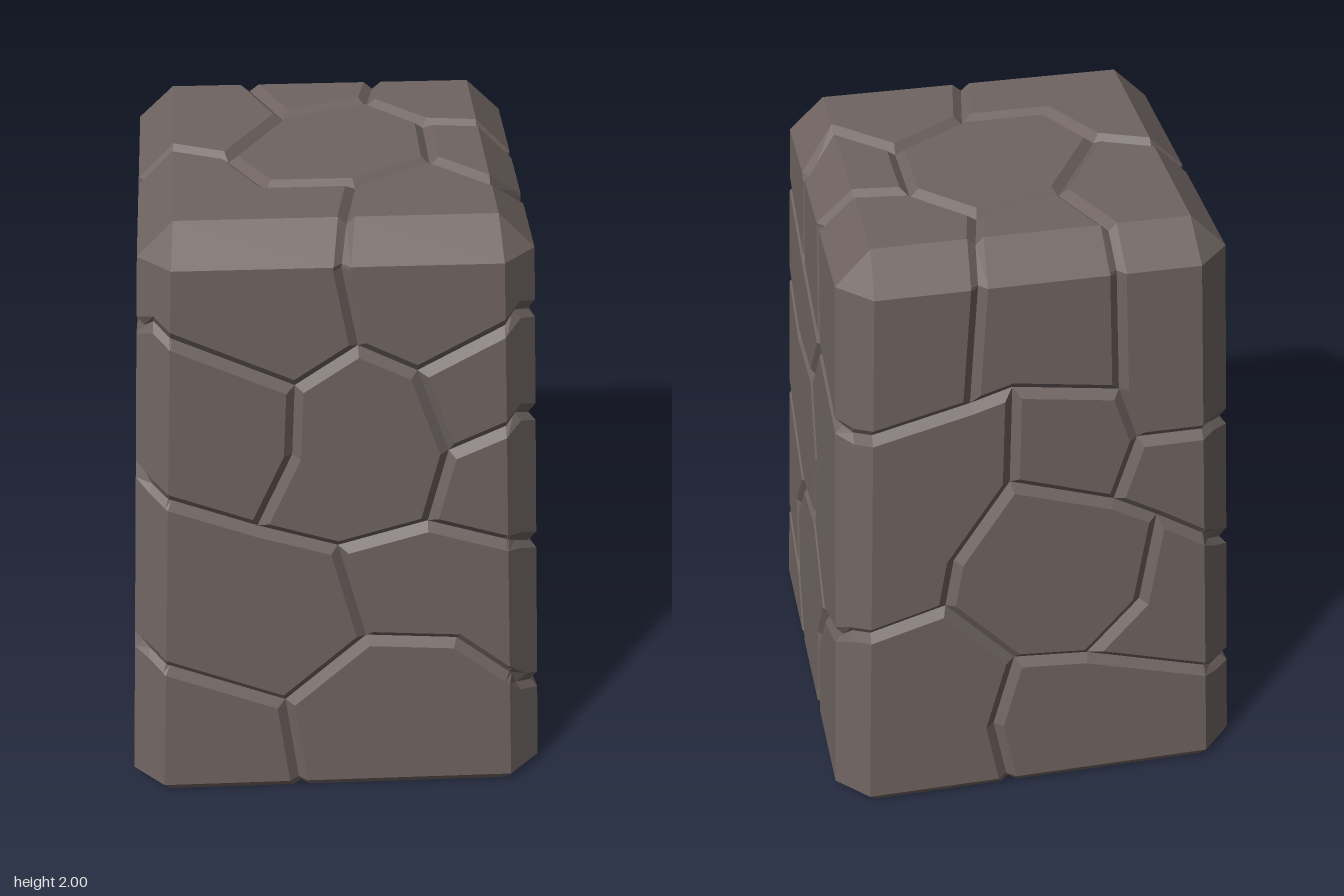
import * as THREE from 'three';

const TOP = 2, SHOULDER = 1.89, FOOT = 0.03;   // heights where the profile bends
const HALF = 0.53, SIDE = 1.2;                 // unwrapped flat half width, and one side plus a corner
const GROOVE = 0.027, DEPTH = 0.024, TOP_HALF = 0.48;

// Half width and corner chamfer of the tapered block at height v
function section(v) {
  if (v < FOOT) return { h: 0.65 + 0.02 * v / FOOT, c: 0.1 };
  if (v <= SHOULDER) return { h: 0.67 - 0.08 * (v - FOOT) / (SHOULDER - FOOT), c: 0.1 };
  const t = (v - SHOULDER) / (TOP - SHOULDER);
  return { h: THREE.MathUtils.lerp(0.59, TOP_HALF, t), c: 0.1 * (1 - t) };
}

// Unwrapped side coordinates (s around, v up) to a point in space
function sidePoint(p, depth) {
  const { h, c } = section(p.y);
  const k = Math.round(p.x / SIDE), u = p.x - k * SIDE, a = Math.abs(u);
  const t = Math.max(0, (a - HALF) / (SIDE / 2 - HALF));
  const up = Math.max(0, (p.y - SHOULDER) / (TOP - SHOULDER));
  const x = Math.sign(u) * (Math.min(a / HALF, 1) * (h - c) + t * c / 2);
  const z = h - t * c / 2 - depth * (1 - up);
  return new THREE.Vector3(x, p.y - depth * up, z).applyAxisAngle(new THREE.Vector3(0, 1, 0), k * Math.PI / 2);
}
const topPoint = (p, depth) => new THREE.Vector3(p.x, TOP - depth, -p.y);

// Fold lines of the unwrapped sides
const sFolds = [];
for (let k = -6; k <= 9; k++) sFolds.push(k * SIDE - HALF, k * SIDE + HALF);
const vFolds = [FOOT, SHOULDER];

// Keep the part of a polygon where sign * (axis - limit) >= 0
function clip(poly, axis, limit, sign) {
  const out = [];
  poly.forEach((a, i) => {
    const b = poly[(i + 1) % poly.length];
    const da = sign * (a[axis] - limit), db = sign * (b[axis] - limit);
    if (da >= 0) out.push(a);
    if (da * db < 0) out.push(a.clone().lerp(b, da / (da - db)));
  });
  return out;
}
function slices(poly, axis, folds) {
  const limits = [-99, ...folds, 99], out = [];
  for (let i = 0; i + 1 < limits.length; i++) {
    const part = clip(clip(poly, axis, limits[i], 1), axis, limits[i + 1], -1);
    if (part.length > 2 && Math.abs(THREE.ShapeUtils.area(part)) > 1e-6) out.push(part);
  }
  return out;
}

// Move each edge inwards by its own distance
function inset(poly, dist) {
  const n = poly.length;
  const normal = i => {
    const d = poly[(i + 1) % n].clone().sub(poly[i]).normalize();
    return new THREE.Vector2(-d.y, d.x);
  };
  return poly.map((p, i) => {
    const j = (i + n - 1) % n, a = normal(j), b = normal(i);
    const det = a.x * b.y - a.y * b.x;
    if (Math.abs(det) < 0.08) return p.clone().addScaledVector(b, Math.max(dist[i], dist[j]));
    return new THREE.Vector2(p.x + (dist[j] * b.y - dist[i] * a.y) / det, p.y + (a.x * dist[i] - b.x * dist[j]) / det);
  });
}

// One stone: a folded face with bevelled walls running down into the grooves
function stone(poly, point, isBorder, sF, vF, material, name) {
  if (THREE.ShapeUtils.area(poly) < 0) poly.reverse();
  const n = poly.length, pos = [];
  const tri = (...pts) => pts.forEach(p => pos.push(p.x, p.y, p.z));
  const dist = poly.map((p, i) => isBorder(p, poly[(i + 1) % n]) ? 0 : GROOVE);
  const inner = inset(poly, dist);
  for (const strip of slices(inner, 'x', sF)) {
    for (const part of slices(strip, 'y', vF)) {
      // nudge the centre test so points on a fold keep to their own strip
      for (const f of THREE.ShapeUtils.triangulateShape(part.slice(), [])) {
        const t = f.map(i => part[i]);
        if (THREE.ShapeUtils.area(t) < 0) t.reverse();
        tri(...t.map(p => point(p, 0)));
      }
    }
  }
  for (let i = 0; i < n; i++) {
    if (!dist[i]) continue;
    const j = (i + 1) % n, cuts = [0, 1];
    for (const [a, b] of [[poly[i], poly[j]], [inner[i], inner[j]]]) {
      for (const [axis, folds] of [['x', sF], ['y', vF]]) {
        for (const f of folds) {
          const t = (f - a[axis]) / (b[axis] - a[axis]);
          if (t > 0.001 && t < 0.999) cuts.push(t);
        }
      }
    }
    cuts.sort((a, b) => a - b);
    for (let k = 0; k + 1 < cuts.length; k++) {
      const o = [0, 1].map(d => point(poly[i].clone().lerp(poly[j], cuts[k + d]), DEPTH));
      const q = [0, 1].map(d => point(inner[i].clone().lerp(inner[j], cuts[k + d]), 0));
      tri(o[0], o[1], q[1], o[0], q[1], q[0]);
    }
  }
  const geo = new THREE.BufferGeometry();
  geo.setAttribute('position', new THREE.Float32BufferAttribute(pos, 3));
  geo.computeVertexNormals();
  const mesh = new THREE.Mesh(geo, material);
  mesh.name = name;
  return mesh;
}

// Groove junctions on each side: across, height
const sides = {
  f: [[.06, 1.62], [-.13, 1.49], [-.14, 1.25], [-.25, 1], [0, .92], [.28, 1], [.34, 1.25], [.24, 1.53], [.09, .58],
    [-.17, .34], [.38, .56], [-.12, 0], [.01, 1.88], [.03, 2]],
  r: [[-.17, 1.57], [.17, 1.48], [0, 1.25], [-.29, 1.23], [.12, 1], [.07, .74], [-.18, .7], [.31, .53], [-.33, .5],
    [-.3, .23], [-.17, 0], [.18, .32], [.18, 0], [-.16, 1.88], [-.26, 2], [.14, 1.88], [.15, 2]],
  b: [[-.21, 1.49], [-.08, 1.53], [.25, 1.48], [.31, 1.3], [.24, 1.08], [-.09, 1.19], [.38, 1], [.33, .68], [.16, .49],
    [-.08, .51], [-.3, .75], [-.27, .92], [-.15, .25], [-.1, 0], [-.17, 2], [.23, 2]],
  l: [[0, 1.62], [-.21, 1.2], [.24, 1.56], [.24, 1.32], [.02, 1.08], [-.23, .67], [-.04, .62], [.21, .62], [.19, .9],
    [-.08, .3], [-.13, 0], [-.02, 2], [-.19, 1.07]],
};
// Heights where grooves cross the four corners
const corners = { p: [1.71, 1.36, .9, .36], q: [1.4, .66], m: [1.3, .86, .35], n: [1.69, 1.13, .52] };

// Stones as loops of junctions
const sideStones = [
  'f0 f1 f2 f3 f4 f5 f6 f7', 'f0 f7 p0 r0 r13 r14 f13 f12', 'f7 f6 p1 r3 r2 r1 r0 p0',
  'f6 f5 p2 r6 r5 r4 r2 r3 p1', 'f4 f5 p2 r6 r8 r9 p3 f10 f8', 'f8 f10 p3 r9 r10 f11 f9',
  'r0 r1 r15 r16 r14 r13', 'r5 r6 r8 r9 r10 r12 r11 r7', 'r1 r15 r16 b14 b0 q0',
  'r1 r2 r4 r5 r7 q1 b10 b11 b5 b1 b0 q0', 'r7 r11 r12 b13 b12 b9 b10 q1', 'b0 b1 b2 b15 b14',
  'b1 b2 b3 b4 b5', 'b5 b4 b6 b7 b8 b9 b10 b11', 'b3 b4 b6 m1 l5 l12 l1 m0', 'b6 b7 b8 m2 l9 l6 l5 m1',
  'b9 b8 m2 l9 l10 b13 b12', 'b2 b15 l11 l0 l1 m0 b3', 'l0 l1 l12 l4 l3 l2', 'l12 l4 l8 l7 l6 l5',
  'l2 l3 n1 f3 f2 f1 n0', 'l3 l4 l8 l7 n2 f9 f8 f4 f3 n1', 'l6 l7 n2 f9 f11 l10 l9', 'l0 l2 n0 f1 f0 f12 f13 l11',
];
// Top junctions (x, z): seven inner, six on the rim, four corners
const topJoints = [[.07, .25], [-.2, .25], [-.31, .05], [-.13, -.25], [.14, -.34], [.31, -.17], [.31, .1],
  [.03, .48], [-.48, -.02], [-.23, -.48], [.17, -.48], [.48, -.15], [.48, .26],
  [-.48, .48], [-.48, -.48], [.48, -.48], [.48, .48]];
const topStones = [[0, 1, 2, 3, 4, 5, 6], [0, 1, 2, 8, 13, 7], [2, 3, 9, 14, 8], [3, 4, 10, 9],
  [4, 5, 11, 15, 10], [5, 6, 12, 11], [6, 0, 7, 16, 12]];

function junction(key) {
  const i = Number(key.slice(1)), side = 'frbl'.indexOf(key[0]);
  if (side < 0) return new THREE.Vector2(('pqmn'.indexOf(key[0]) + 0.5) * SIDE, corners[key[0]][i]);
  const [x, v] = sides[key[0]][i], { h, c } = section(v);
  return new THREE.Vector2(side * SIDE + x * HALF / (h - c), v);
}

export function createModel() {
  const group = new THREE.Group();
  group.name = 'stonePillar';
  const rock = new THREE.MeshStandardMaterial({ color: 0x6f6461, flatShading: true });
  rock.name = 'brown grey stone';

  // Stones around the sides
  const sideBorder = (a, b) => a.y === b.y && (a.y === 0 || a.y === TOP);
  for (const loop of sideStones) {
    const poly = loop.split(' ').map(junction);
    for (let i = 1; i < poly.length; i++) {
      poly[i].x -= 4 * SIDE * Math.round((poly[i].x - poly[i - 1].x) / (4 * SIDE));
    }
    group.add(stone(poly, sidePoint, sideBorder, sFolds, vFolds, rock, 'sideStone'));
  }

  // Stones on the top
  const topBorder = (a, b) => ['x', 'y'].some(k => a[k] === b[k] && Math.abs(a[k]) === TOP_HALF);
  for (const loop of topStones) {
    const poly = loop.map(i => new THREE.Vector2(topJoints[i][0], -topJoints[i][1]));
    group.add(stone(poly, topPoint, topBorder, [], [], rock, 'topStone'));
  }

  // Flat underside
  const outline = [];
  for (let k = 0; k < 4; k++) {
    for (const u of [-HALF, HALF]) {
      const p = sidePoint(new THREE.Vector2(k * SIDE + u, 0), 0);
      outline.push(new THREE.Vector2(p.x, p.z));
    }
  }
  const base = new THREE.Mesh(new THREE.ShapeGeometry(new THREE.Shape(outline)).rotateX(Math.PI / 2), rock);
  base.name = 'underside';
  group.add(base);
  return group;
}
